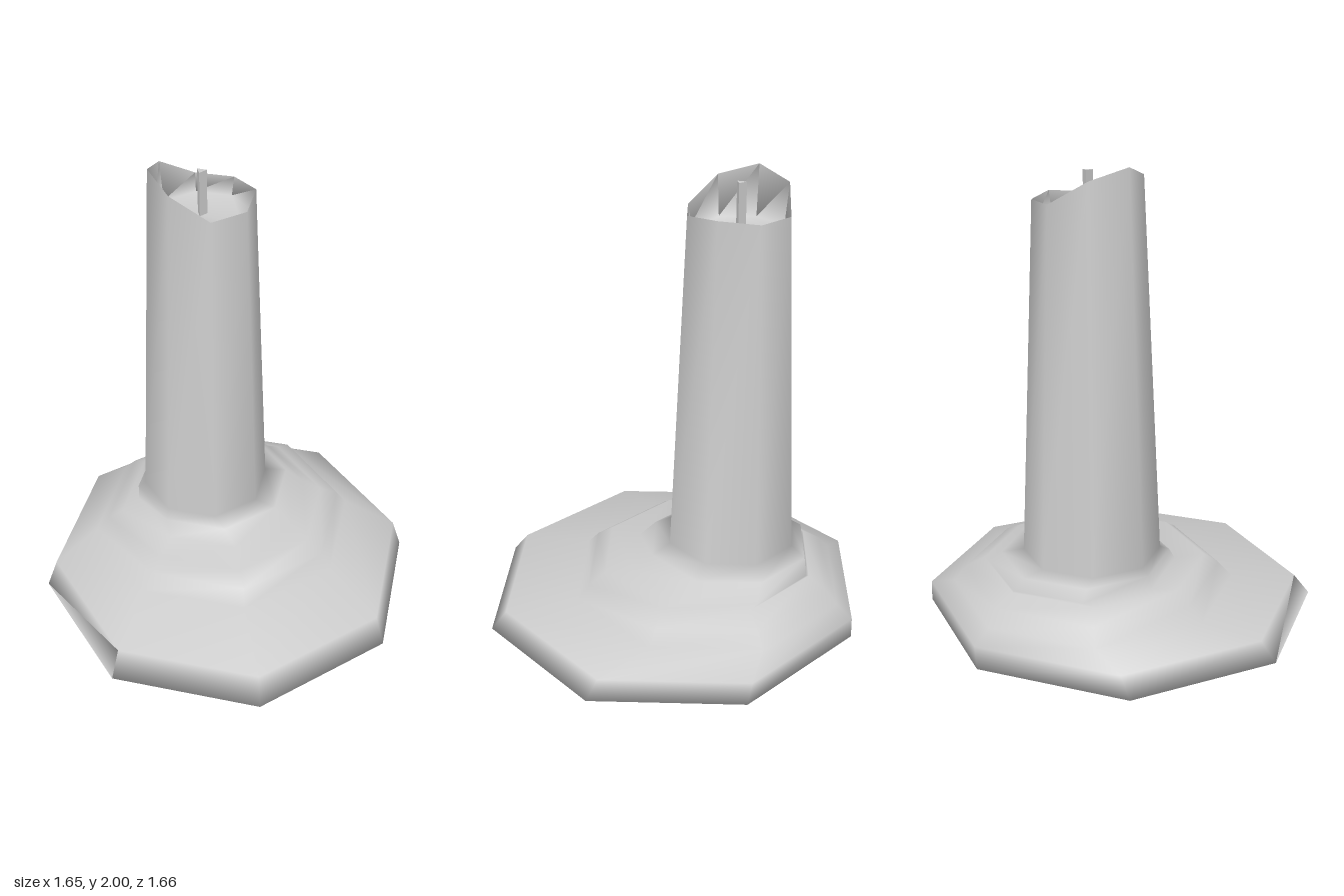
import * as THREE from 'three';

const SIDES = 8;
const TURN = THREE.MathUtils.degToRad(18);

// Smooth closed skin through octagonal rings [centreX, centreZ, radius, height or list of heights]
function loft(rings) {
  const pos = [], index = [];
  for (const [cx, cz, r, h] of rings) {
    for (let i = 0; i < SIDES; i++) {
      const a = TURN + (i / SIDES) * Math.PI * 2;
      pos.push(cx + r * Math.cos(a), Array.isArray(h) ? h[i] : h, cz + r * Math.sin(a));
    }
  }
  for (let k = 0; k < rings.length - 1; k++) {
    for (let i = 0; i < SIDES; i++) {
      const j = (i + 1) % SIDES;
      const a = k * SIDES + i, b = k * SIDES + j;
      index.push(a, a + SIDES, b, b, a + SIDES, b + SIDES);
    }
  }
  // End caps: underside, then the floor of the melted hollow
  const last = (rings.length - 1) * SIDES;
  for (let i = 1; i < SIDES - 1; i++) {
    index.push(0, i, i + 1);
    index.push(last, last + i + 1, last + i);
  }
  const geo = new THREE.BufferGeometry();
  geo.setAttribute('position', new THREE.Float32BufferAttribute(pos, 3));
  geo.setIndex(index);
  geo.computeVertexNormals();
  return geo;
}

export function createModel() {
  const group = new THREE.Group();
  const wax = new THREE.MeshStandardMaterial({ color: 0xcccccc });

  // Uneven melted rim, one height per corner
  const rim = [1.86, 1.86, 1.955, 2.0, 1.955, 1.86, 1.86, 1.875];

  // Pooled wax in off-centre steps, tapering column, hollow top
  const body = new THREE.Mesh(loft([
    [0, 0, 0.87, 0],
    [-0.01, -0.04, 0.83, 0.10],
    [-0.075, -0.16, 0.62, 0.155],
    [-0.07, -0.165, 0.565, 0.22],
    [-0.075, -0.155, 0.487, 0.265],
    [-0.10, -0.22, 0.408, 0.267],
    [-0.145, -0.22, 0.365, 0.33],
    [-0.175, -0.20, 0.295, 0.355],
    [-0.172, -0.205, 0.222, rim],
    [-0.172, -0.205, 0.205, 1.78],
  ]), wax);
  body.name = 'waxBody';
  group.add(body);

  // Three-sided wick standing in the hollow
  const wick = new THREE.Mesh(
    new THREE.CylinderGeometry(0.024, 0.024, 0.215, 3),
    new THREE.MeshStandardMaterial({ color: 0xcccccc, flatShading: true })
  );
  wick.position.set(-0.178, 1.8675, -0.208);
  wick.name = 'wick';
  group.add(wick);

  return group;
}
